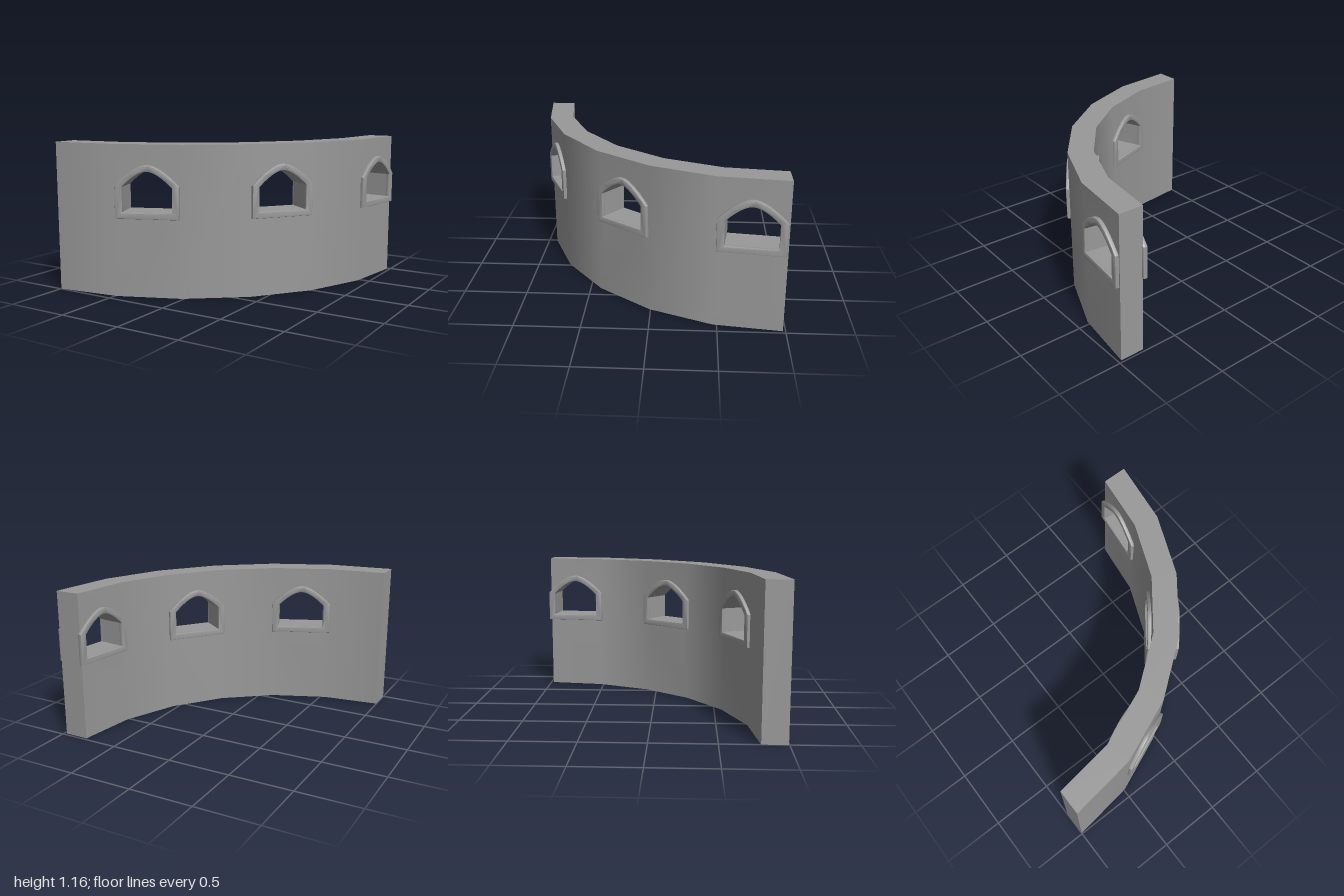
import * as THREE from 'three';
import { mergeGeometries, toCreasedNormals } from 'three/addons/utils/BufferGeometryUtils.js';

const SEGMENTS = 6, STEP = Math.PI / 2 / SEGMENTS, HALF = STEP / 2;
const HEIGHT = 1.165;
const Z_OUT = 1.975 * Math.cos(HALF), Z_IN = 1.78 * Math.cos(HALF); // flat face distances
const EDGE = Z_OUT * Math.tan(HALF);

// Pointed-round window outline: straight jambs, curved head
function windowOutline(Type, half, bottom, spring, apex) {
  const s = new Type();
  s.moveTo(-half, bottom);
  s.lineTo(half, bottom);
  s.lineTo(half, spring);
  s.quadraticCurveTo(half * 0.38, apex, 0, apex);
  s.quadraticCurveTo(-half * 0.38, apex, -half, spring);
  s.closePath();
  return s;
}
const opening = () => windowOutline(THREE.Path, 0.192, 0.655, 0.845, 0.963);

// One straight wall segment, tapered towards the arc centre, without hidden joint faces
function wallSegment(k) {
  const shape = new THREE.Shape([
    new THREE.Vector2(-EDGE, 0), new THREE.Vector2(EDGE, 0),
    new THREE.Vector2(EDGE, HEIGHT), new THREE.Vector2(-EDGE, HEIGHT),
  ]);
  if (k % 2 === 1) shape.holes.push(opening());
  const src = new THREE.ExtrudeGeometry(shape, { depth: Z_OUT - Z_IN, bevelEnabled: false, curveSegments: 10 });
  src.translate(0, 0, Z_IN);
  const p = src.attributes.position, kept = [];
  for (let i = 0; i < p.count; i += 3) {
    const ids = [i, i + 1, i + 2];
    const joint = (sign, isEnd) => !isEnd && ids.every((j) => p.getX(j) * sign > EDGE - 0.001);
    if (joint(-1, k === 0) || joint(1, k === SEGMENTS - 1)) continue;
    for (const j of ids) {
      const x = p.getX(j), z = p.getZ(j);
      const atEdge = Math.abs(x) > EDGE - 0.001;
      kept.push(atEdge ? Math.sign(x) * z * Math.tan(HALF) : x, p.getY(j), z);
    }
  }
  const g = new THREE.BufferGeometry();
  g.setAttribute('position', new THREE.Float32BufferAttribute(kept, 3));
  return g.rotateY((k + 0.5) * STEP);
}

// Raised window surround with slightly softened edges
function frameGeometry() {
  const shape = windowOutline(THREE.Shape, 0.248, 0.606, 0.855, 1.013);
  shape.holes.push(opening());
  const g = new THREE.ExtrudeGeometry(shape, {
    depth: 0.02, curveSegments: 10, bevelThickness: 0.008,
    bevelSize: 0.008, bevelOffset: -0.008, bevelSegments: 2,
  });
  return toCreasedNormals(g, 0.7);
}

export function createModel() {
  const model = new THREE.Group();
  model.name = 'curvedWall';
  const material = new THREE.MeshStandardMaterial({ color: 0x999999 });

  // Everything is laid out around the arc centre
  const arc = new THREE.Group();
  arc.name = 'wallAssembly';
  arc.position.set(-1, 0, -0.98);
  model.add(arc);

  // Quarter-circle wall, smooth around the curve and sharp at its borders
  const segments = [];
  for (let k = 0; k < SEGMENTS; k++) segments.push(wallSegment(k));
  const wall = new THREE.Mesh(toCreasedNormals(mergeGeometries(segments), 0.5), material);
  wall.name = 'wall';
  arc.add(wall);

  // Surrounds on both faces of every second segment
  const frame = frameGeometry();
  for (let k = 1; k < SEGMENTS; k += 2) {
    const win = new THREE.Group();
    win.name = 'window' + (k + 1) / 2;
    win.rotation.y = (k + 0.5) * STEP;
    const outer = new THREE.Mesh(frame, material);
    outer.name = 'outerFrame';
    outer.position.z = Z_OUT;
    const inner = new THREE.Mesh(frame, material);
    inner.name = 'innerFrame';
    inner.position.z = Z_IN;
    inner.rotation.y = Math.PI;
    win.add(outer, inner);
    arc.add(win);
  }
  return model;
}
